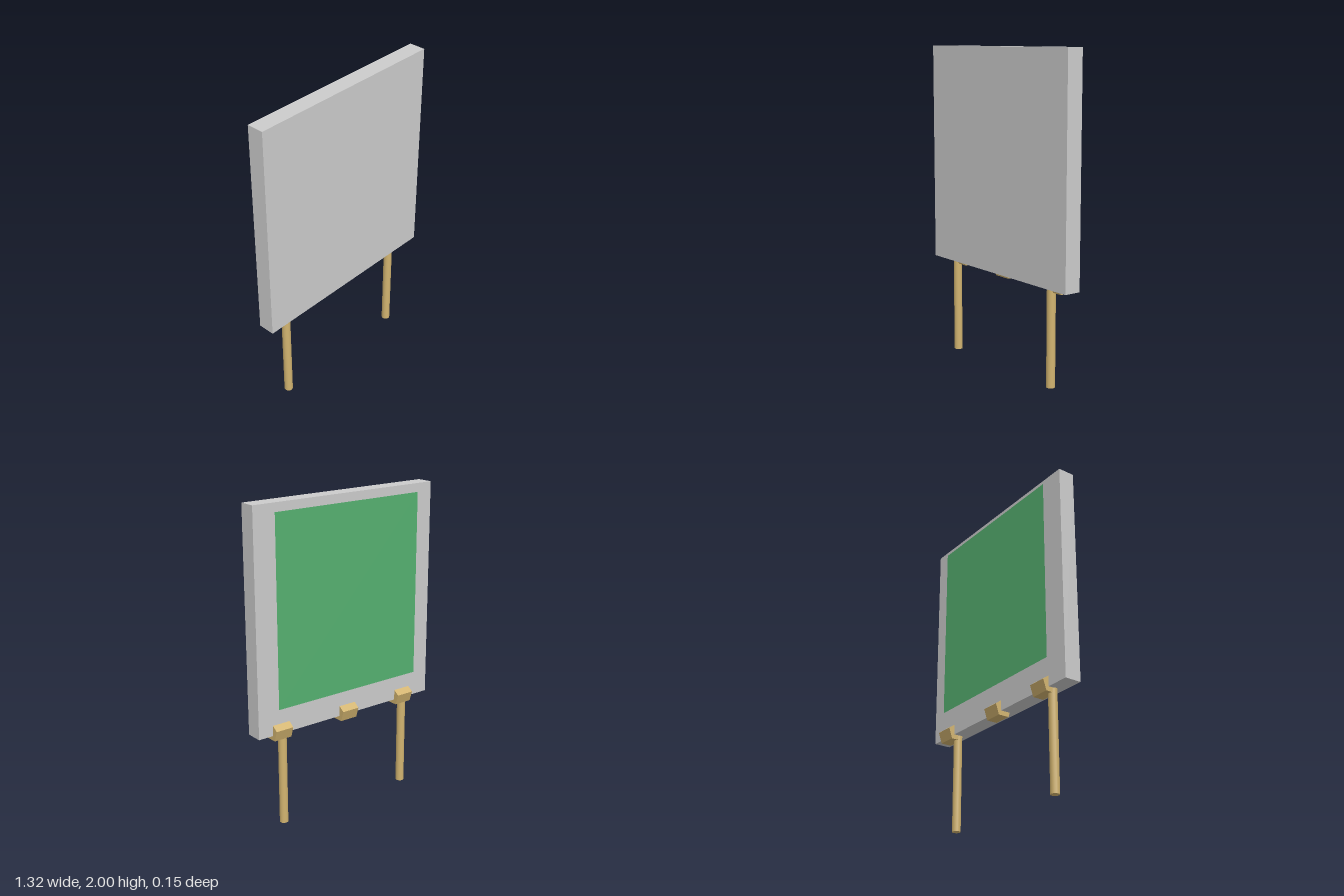
import * as THREE from 'three';

export function createModel() {
  const model = new THREE.Group();
  const grey = new THREE.MeshStandardMaterial({ color: 0xcccccc });
  const wood = new THREE.MeshStandardMaterial({ color: 0xd2b470 });
  const woodFlat = new THREE.MeshStandardMaterial({ color: 0xd2b470, flatShading: true });
  const green = new THREE.MeshStandardMaterial({ color: 0x55b070, side: THREE.DoubleSide });

  const add = (name, geometry, material, x, y, z) => {
    const mesh = new THREE.Mesh(geometry, material);
    mesh.name = name;
    mesh.position.set(x, y, z);
    model.add(mesh);
    return mesh;
  };

  // Upright panel
  add('panel', new THREE.BoxGeometry(1.32, 1.385, 0.107), grey, 0, 1.3075, 0.0185);

  // Thin writing surface held just off the back of the panel
  add('boardSurface', new THREE.PlaneGeometry(1.06, 1.17), green, 0, 1.366, -0.06)
    .rotation.y = Math.PI;

  // Round legs
  const legGeometry = new THREE.CylinderGeometry(0.027, 0.027, 0.63, 16);
  for (const [name, x] of [['leftLeg', 0.464], ['rightLeg', -0.49]]) {
    add(name, legGeometry, wood, x, 0.315, 0.01);
  }

  // Five-sided blocks lying across the lower back edge, one corner up
  const blockGeometry = new THREE.CylinderGeometry(0.06, 0.06, 0.12, 5)
    .rotateX(-Math.PI / 2)
    .rotateY(Math.PI / 2);
  for (const [name, x] of [['leftBlock', 0.5], ['middleBlock', 0], ['rightBlock', -0.45]]) {
    add(name, blockGeometry, woodFlat, x, 0.634, -0.016);
  }

  return model;
}
